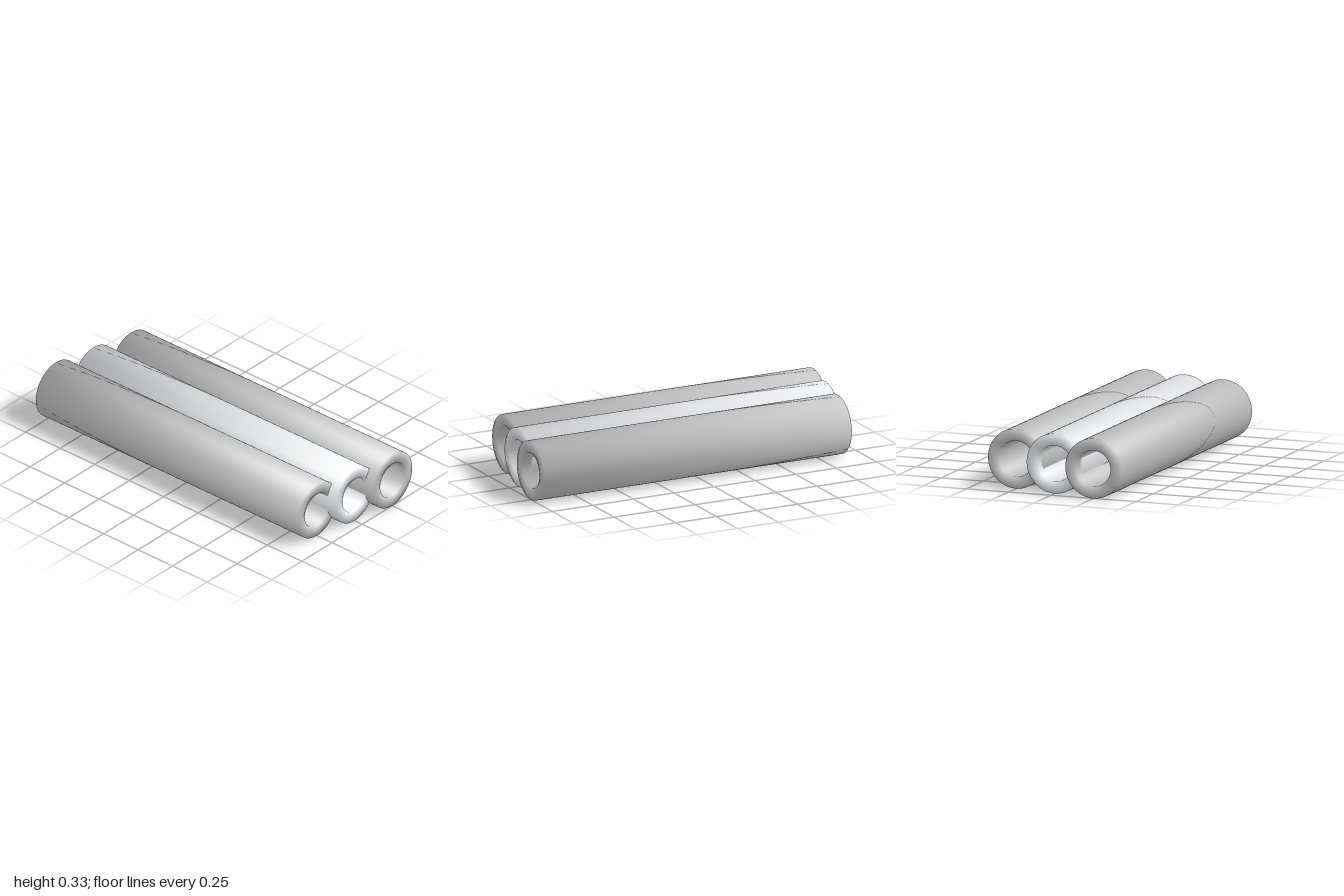
import * as THREE from 'three';

const OUTER = 0.166, INNER = 0.1, LENGTH = 1.89;

// Hollow tube along z with soft shading that rolls over both rims
function tubeGeometry() {
  const h = LENGTH / 2;
  const profile = [[OUTER, -h], [OUTER, h], [INNER, h], [INNER, -h], [OUTER, -h]]
    .map(([r, y]) => new THREE.Vector2(r, y));
  const geometry = new THREE.LatheGeometry(profile, 96);
  const { position, normal } = geometry.attributes;
  const mid = (OUTER + INNER) / 2;
  const n = new THREE.Vector3();
  for (let i = 0; i < position.count; i++) {
    const x = position.getX(i), z = position.getZ(i), r = Math.hypot(x, z);
    const side = Math.sign(r - mid);
    n.set(side * x / r, Math.sign(position.getY(i)), side * z / r).normalize();
    normal.setXYZ(i, n.x, n.y, n.z);
  }
  return geometry.rotateX(Math.PI / 2);
}

export function createModel() {
  const group = new THREE.Group();
  group.name = 'interlockedTubes';
  const geometry = tubeGeometry();
  const grey = new THREE.MeshStandardMaterial({ color: 0xcccccc });
  const pale = new THREE.MeshStandardMaterial({ color: 0xeef0f5 });

  // Three overlapping tubes, each stepped forward from its neighbour
  [['rightTube', -1, grey], ['middleTube', 0, pale], ['leftTube', 1, grey]].forEach(([name, i, material]) => {
    const tube = new THREE.Mesh(geometry, material);
    tube.name = name;
    tube.position.set(i * 0.25, OUTER, i * 0.055);
    group.add(tube);
  });
  return group;
}
